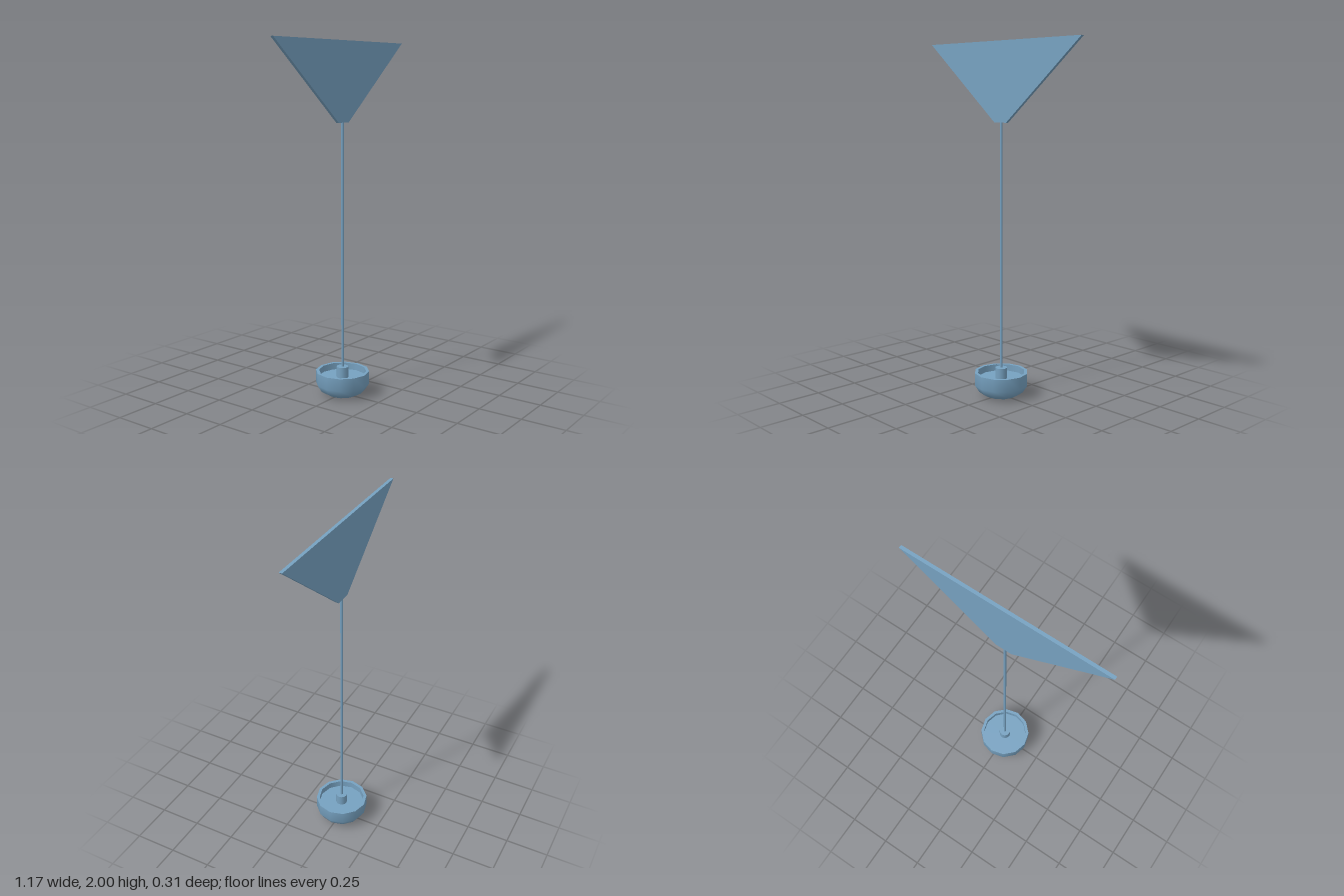
import * as THREE from 'three';

const SIDES = 12;

export function createModel() {
  const model = new THREE.Group();
  const material = new THREE.MeshStandardMaterial({ color: 0x76a1c0 });

  const add = (name, geometry, y = 0, parent = model) => {
    const mesh = new THREE.Mesh(geometry, material);
    mesh.name = name;
    mesh.position.y = y;
    parent.add(mesh);
    return mesh;
  };
  const lathe = (...points) =>
    new THREE.LatheGeometry(points.map(([r, y]) => new THREE.Vector2(r, y)), SIDES);

  // Bowl-shaped base; each band is its own lathe so the rim stays sharp
  const base = new THREE.Group();
  base.name = 'base';
  model.add(base);
  add('baseShell', lathe([0, 0], [0.088, 0.002], [0.129, 0.026], [0.154, 0.066], [0.154, 0.138]), 0, base);
  add('baseRim', lathe([0.154, 0.138], [0.136, 0.138]), 0, base);
  add('baseInnerWall', lathe([0.136, 0.138], [0.136, 0.1]), 0, base);
  add('baseFloor', lathe([0.136, 0.1], [0, 0.1]), 0, base);

  // Collar that holds the pole
  add('collar', new THREE.CylinderGeometry(0.034, 0.034, 0.072, SIDES), 0.126);

  // Thin pole, running a little way into the panel
  add('pole', new THREE.CylinderGeometry(0.0075, 0.0075, 1.48, SIDES), 0.84);

  // Flat panel, wide at the top and tapering to a narrow foot
  const outline = new THREE.Shape([
    new THREE.Vector2(-0.046, 1.557),
    new THREE.Vector2(0.046, 1.557),
    new THREE.Vector2(0.585, 2),
    new THREE.Vector2(-0.585, 2),
  ]);
  const panel = new THREE.ExtrudeGeometry(outline, { depth: 0.018, bevelEnabled: false });
  panel.translate(0, 0, -0.009);
  add('panel', panel);

  return model;
}
